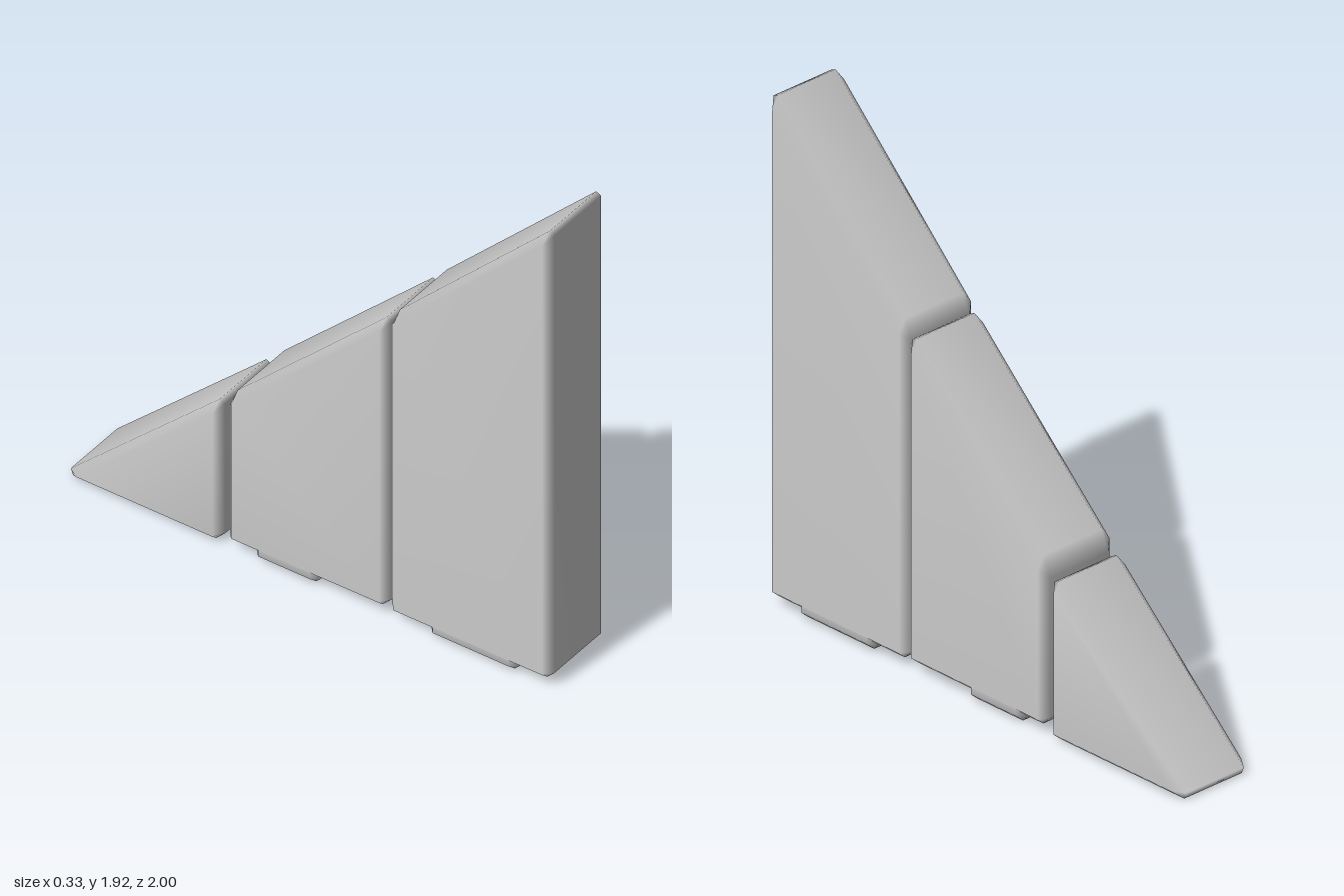
import * as THREE from 'three';

const material = new THREE.MeshStandardMaterial({ color: 0xcccccc });

// Prism across x from a convex [z, y, cornerCut] profile, listed front-bottom,
// front-top, back-top, back-bottom. All edges are bevelled, corners clipped.
function bevelledPrism(name, profile, halfWidth, inset = 0.028, bevelX = 0.033) {
  const n = profile.length;
  const pts = profile.map(([z, y]) => new THREE.Vector2(z, y));
  const dirs = pts.map((p, i) => pts[(i + 1) % n].clone().sub(p).normalize());
  const inward = dirs.map((d) => new THREE.Vector2(-d.y, d.x));

  const positions = [];
  const index = [];
  const stride = n * 3;
  for (const s of [-1, 1]) {
    // inset outline of the side face
    pts.forEach((p, i) => {
      const a = inward[(i + n - 1) % n];
      const b = inward[i];
      const q = a.clone().add(b).multiplyScalar(inset / (1 + a.dot(b))).add(p);
      positions.push(s * halfWidth, q.y, q.x);
    });
    // full outline with each corner clipped into two points
    pts.forEach((p, i) => {
      const cut = profile[i][2];
      const before = p.clone().addScaledVector(dirs[(i + n - 1) % n], -cut);
      const after = p.clone().addScaledVector(dirs[i], cut);
      for (const q of [before, after]) positions.push(s * (halfWidth - bevelX), q.y, q.x);
    });
  }

  const cap = (side, i) => side * stride + (i % n);
  const rim = (side, k) => side * stride + n + (k % (2 * n));
  const face = (flip, ...v) => {
    if (flip) v.reverse();
    for (let i = 1; i < v.length - 1; i++) index.push(v[0], v[i], v[i + 1]);
  };
  for (const side of [0, 1]) {
    face(side, ...pts.map((_, i) => cap(side, i)));
    for (let i = 0; i < n; i++) {
      face(side, cap(side, i + 1), cap(side, i), rim(side, 2 * i + 1), rim(side, 2 * i + 2));
      face(side, cap(side, i), rim(side, 2 * i), rim(side, 2 * i + 1));
    }
  }
  // walls joining both sides
  for (let k = 0; k < 2 * n; k++) face(false, rim(0, k + 1), rim(0, k), rim(1, k), rim(1, k + 1));

  const geometry = new THREE.BufferGeometry();
  geometry.setAttribute('position', new THREE.Float32BufferAttribute(positions, 3));
  geometry.setIndex(index);
  geometry.computeVertexNormals();
  const mesh = new THREE.Mesh(geometry, material);
  mesh.name = name;
  return mesh;
}

// Raised pad under a block, its upper half buried in the block
function footPad(name, zFront, zBack) {
  const c = 0.025;
  return bevelledPrism(name,
    [[zFront, 0, c], [zFront, 0.12, c], [zBack, 0.12, c], [zBack, 0, c]], 0.165);
}

export function createModel() {
  const group = new THREE.Group();
  group.name = 'slopedBlockWedge';
  const w = 0.167;

  group.add(
    // three blocks stepping down to the back along one slope
    bevelledPrism('tallFrontBlock',
      [[1, 0.027, 0.03], [1, 1.942, 0.03], [0.33, 1.278, 0.045], [0.33, 0.025, 0.035]], w),
    bevelledPrism('middleBlock',
      [[0.328, 0.03, 0.035], [0.328, 1.273, 0.03], [-0.34, 0.635, 0.045], [-0.34, 0.027, 0.035]], w),
    bevelledPrism('rearWedge',
      [[-0.36, 0, 0.035], [-0.36, 0.615, 0.03], [-1.022, 0, 0.035]], w),
    // pads on the underside
    footPad('frontFootPad', 0.86, 0.49),
    footPad('middleFootPad', 0.04, -0.23),
  );
  return group;
}
